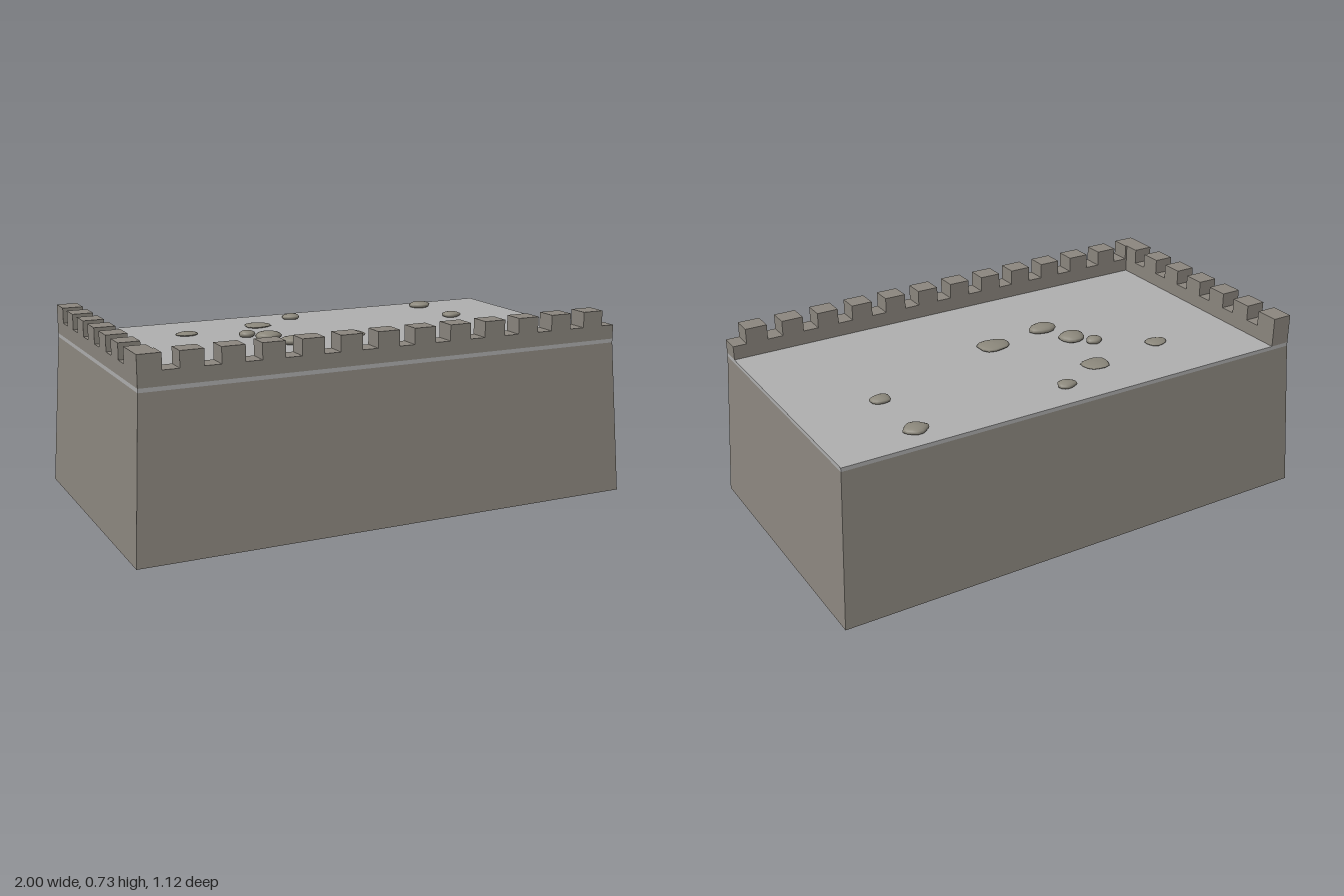
import * as THREE from 'three';

const DECK = 0.615, SILL = 0.67, CREST = 0.73;
const HX = 0.963, HZ = 0.527, THICK = 0.08;

export function createModel() {
  const model = new THREE.Group();
  const stone = new THREE.MeshStandardMaterial({ color: 0x8c877f });
  stone.name = 'stone';
  stone.side = THREE.DoubleSide;
  const paving = new THREE.MeshStandardMaterial({ color: 0xb0b0b0 });
  paving.name = 'paving';
  const rubble = new THREE.MeshStandardMaterial({ color: 0x8c887c });
  rubble.name = 'rubble';

  const add = (name, geometry, material, parent = model) => {
    const mesh = new THREE.Mesh(geometry, material);
    mesh.name = name;
    parent.add(mesh);
    return mesh;
  };

  // Hollow sloping walls, open underneath
  let walls = new THREE.CylinderGeometry(1, 1, 0.6, 4, 1, true, Math.PI / 4);
  const p = walls.attributes.position;
  for (let i = 0; i < p.count; i++) {
    const top = p.getY(i) > 0;
    p.setXYZ(i, Math.sign(p.getX(i)) * (top ? HX : 1), top ? 0.6 : 0,
      Math.sign(p.getZ(i)) * (top ? HZ : 0.56));
  }
  walls = walls.toNonIndexed();
  walls.computeVertexNormals();
  add('slopingWalls', walls, stone);

  // Roof deck
  add('deck', new THREE.BoxGeometry(HX * 2, 0.015, HZ * 2), paving).position.y = DECK - 0.0075;

  // Crenellated parapet from a stepped outline; merlons are [start, end] pairs along it
  const parapet = (start, end, merlons) => {
    const shape = new THREE.Shape();
    shape.moveTo(start, DECK);
    shape.lineTo(start, merlons[0][0] > start ? SILL : CREST);
    for (const [a, b] of merlons) {
      if (a > start) {
        shape.lineTo(a, SILL);
        shape.lineTo(a, CREST);
      }
      shape.lineTo(b, CREST);
      if (b < end) shape.lineTo(b, SILL);
    }
    if (merlons[merlons.length - 1][1] < end) shape.lineTo(end, SILL);
    shape.lineTo(end, DECK);
    return new THREE.ExtrudeGeometry(shape, { depth: THICK, bevelEnabled: false });
  };

  const frontMerlons = Array.from({ length: 13 }, (_, i) => {
    const a = -HX + i * 0.1487;
    return [a, a + 0.087];
  });
  add('frontParapet', parapet(-HX, HX, frontMerlons), stone).position.z = HZ - THICK;

  // Side parapet: its outline runs from the front wall to the back
  const sideEnd = HZ - THICK;
  const sideMerlons = Array.from({ length: 7 }, (_, i) => {
    const a = -0.467 + i * 0.15;
    return [Math.max(a, -sideEnd), i === 6 ? HZ : a + 0.087];
  });
  const side = add('rightParapet', parapet(-sideEnd, HZ, sideMerlons), stone);
  side.rotation.y = Math.PI / 2;
  side.position.x = -HX;

  // Loose stones on the deck: x, z, half width, half depth, top height
  const stones = new THREE.Group();
  stones.name = 'looseStones';
  model.add(stones);
  [
    [-0.515, -0.26, 0.048, 0.038, 0.629],
    [-0.31, -0.13, 0.037, 0.03, 0.641],
    [-0.195, -0.305, 0.056, 0.052, 0.629],
    [0, -0.405, 0.04, 0.033, 0.638],
    [-0.25, -0.06, 0.06, 0.048, 0.645],
    [-0.195, 0.07, 0.06, 0.044, 0.645],
    [0.055, 0.035, 0.069, 0.054, 0.636],
    [0.635, -0.425, 0.054, 0.043, 0.64],
    [0.64, -0.16, 0.042, 0.033, 0.638],
  ].forEach(([x, z, rx, rz, top], n) => {
    const g = new THREE.SphereGeometry(1, 14, 8);
    const q = g.attributes.position;
    for (let i = 0; i < q.count; i++) {
      const X = q.getX(i), Y = q.getY(i), Z = q.getZ(i);
      const k = 0.95 + 0.06 * Math.sin(4 * X + 2 * n) + 0.05 * Math.sin(5 * Z + 3 * n + Y);
      q.setXYZ(i, X * k, Y, Z * k);
    }
    const half = (top - DECK) * 0.6;
    g.scale(rx, half, rz);
    g.computeVertexNormals();
    add('looseStone', g, rubble, stones).position.set(x, top - half, z);
  });

  return model;
}
